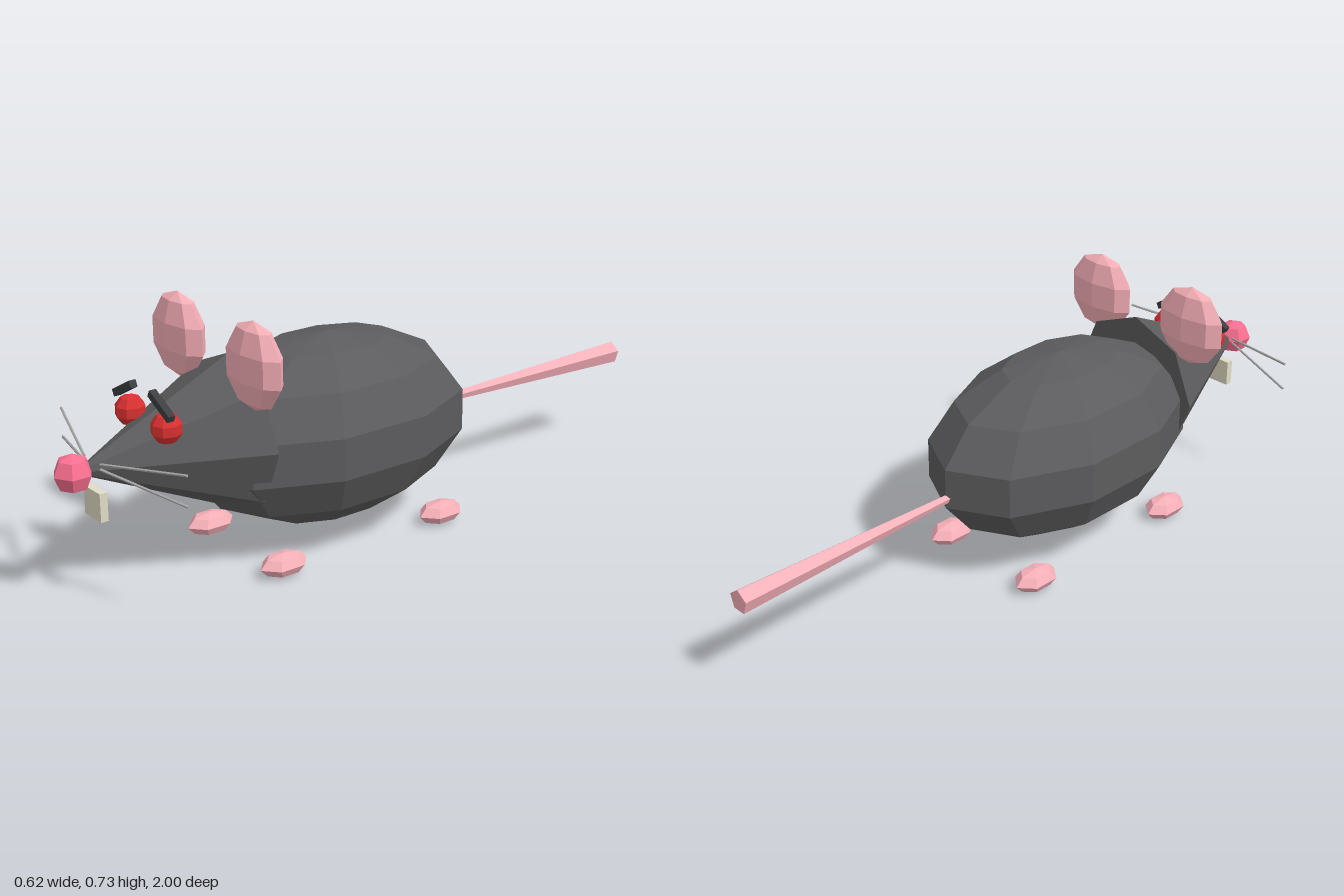
import * as THREE from 'three';

const paint = (color) => new THREE.MeshStandardMaterial({ color, flatShading: true });
const FUR = paint(0x5c5c5e);
const PINK = paint(0xf7b0b8);
const NOSE = paint(0xfa7091);
const RED = paint(0xd83030);
const DARK = paint(0x3c3e40);
const WHISKER = paint(0xa8a8a8);
const TOOTH = paint(0xe2dcc6);

export function createModel() {
  const model = new THREE.Group();

  const add = (name, geometry, material, x, y, z) => {
    const mesh = new THREE.Mesh(geometry, material);
    mesh.name = name;
    mesh.position.set(x, y, z);
    model.add(mesh);
    return mesh;
  };

  // Faceted ellipsoid with an upright pole and a vertex column facing front
  const blob = (rx, ry, rz, around, rows) =>
    new THREE.SphereGeometry(1, around, rows).rotateY(Math.PI / 2).scale(rx, ry, rz);

  // Thin round bar between two points
  const bar = (name, a, b, radius, material) => {
    const dir = b.clone().sub(a);
    const mid = a.clone().add(b).multiplyScalar(0.5);
    const mesh = add(name, new THREE.CylinderGeometry(radius, radius, dir.length(), 6), material, mid.x, mid.y, mid.z);
    mesh.quaternion.setFromUnitVectors(new THREE.Vector3(0, 1, 0), dir.normalize());
  };

  // Body, head cone and nose
  add('body', blob(0.285, 0.267, 0.4615, 10, 7), FUR, 0, 0.32, 0.15);
  add('head', new THREE.ConeGeometry(0.22, 0.475, 8).rotateX(Math.PI / 2), FUR, 0, 0.368, 0.7075);
  add('nose', blob(0.0535, 0.0535, 0.0535, 6, 4), NOSE, 0, 0.368, 0.9465);

  // Front teeth
  add('teeth', new THREE.BoxGeometry(0.08, 0.078, 0.022), TOOTH, 0, 0.272, 0.886);

  // Tail, five-sided and widening to the tip
  add('tail', new THREE.CylinderGeometry(0.034, 0.012, 0.72, 5).rotateX(-Math.PI / 2), PINK, 0, 0.289, -0.64);

  // Paired parts
  for (const [side, s] of [['left', 1], ['right', -1]]) {
    add(side + 'Ear', blob(0.12, 0.12, 0.046, 8, 5), PINK, s * 0.175, 0.605, 0.51);
    add(side + 'Eye', blob(0.043, 0.043, 0.043, 8, 5), RED, s * 0.087, 0.462, 0.722);

    const brow = add(side + 'Brow', new THREE.BoxGeometry(0.1, 0.02, 0.02), DARK, s * 0.088, 0.524, 0.735);
    brow.rotation.z = -s * 0.49;

    for (const [end, z] of [['Front', 0.43], ['Back', -0.125]]) {
      add(side + end + 'Foot', blob(0.05, 0.032, 0.075, 6, 4), PINK, s * 0.175, 0.032, z);
    }

    // Whiskers fan out from beside the nose
    for (const [level, y0, y1] of [['Upper', 0.39, 0.423], ['Lower', 0.376, 0.341]]) {
      bar(side + level + 'Whisker', new THREE.Vector3(s * 0.04, y0, 0.89),
        new THREE.Vector3(s * 0.307, y1, 0.805), 0.0038, WHISKER);
    }
  }

  return model;
}
